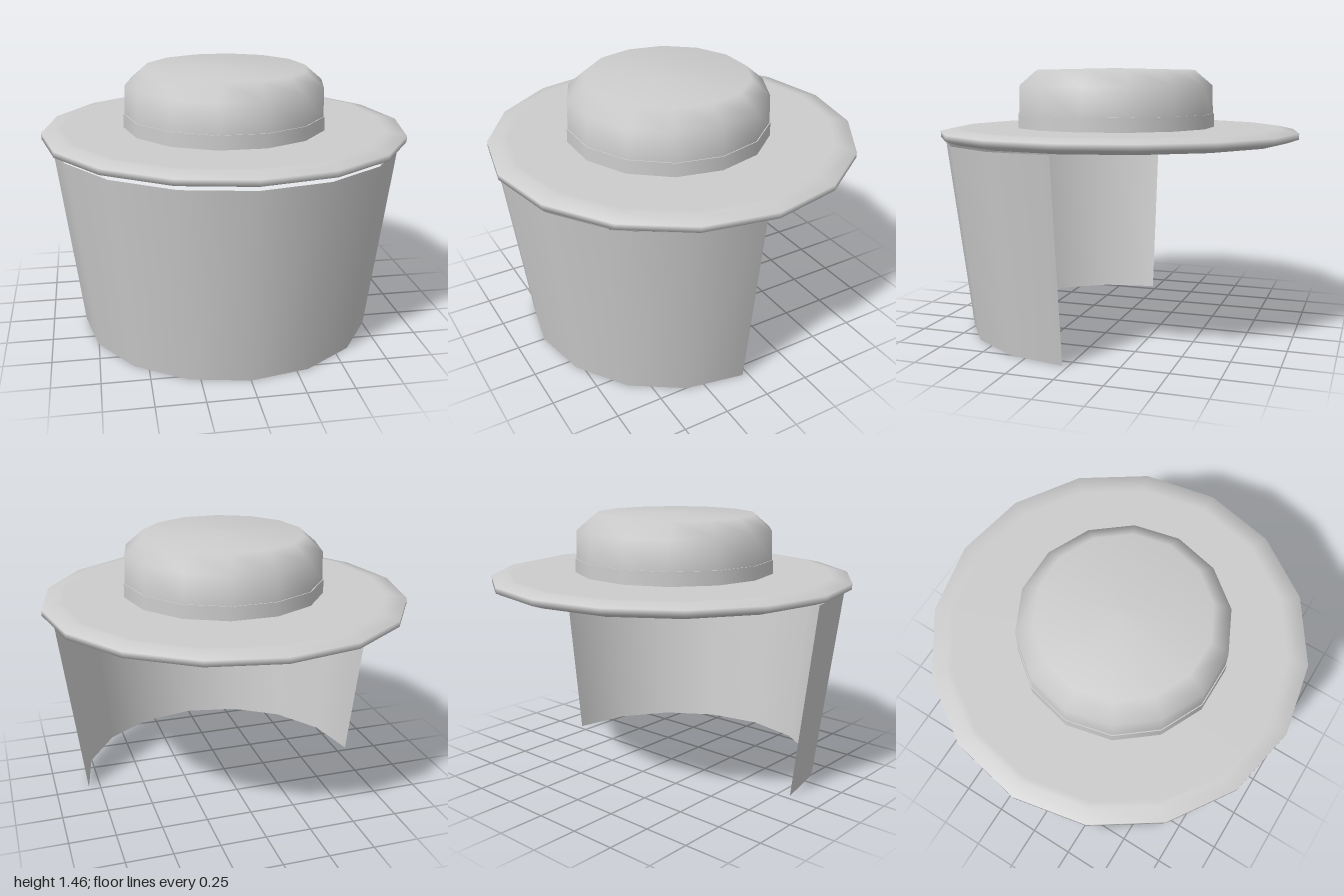
import * as THREE from 'three';

const cloth = new THREE.MeshStandardMaterial({ color: 0xcccccc, side: THREE.DoubleSide });
cloth.name = 'light grey cloth';

// Turned part from [radius, height] pairs, listed from bottom to top
function turned(profile, sides, start) {
  const points = profile.map(([r, y]) => new THREE.Vector2(r, y));
  return new THREE.LatheGeometry(points, sides, start);
}

export function createModel() {
  const group = new THREE.Group();
  group.name = 'veiledHat';

  function add(name, geometry, y = 0, z = 0) {
    const mesh = new THREE.Mesh(geometry, cloth);
    mesh.name = name;
    mesh.position.set(0, y, z);
    group.add(mesh);
  }

  // Wide flat brim with a rounded edge; close rings keep the flats flat
  add('brim', turned([
    [0, 1.059], [0.91, 1.059], [0.935, 1.061], [1, 1.083],
    [1, 1.115], [0.92, 1.133], [0.89, 1.135], [0, 1.135],
  ], 16, 0));

  // Band around the foot of the crown
  add('band', new THREE.CylinderGeometry(0.555, 0.557, 0.08, 14, 1, false, Math.PI / 2), 1.17, 0.027);

  // Low crown with a bevelled shoulder and a nearly flat top
  add('crown', turned([
    [0.55, 1.2], [0.545, 1.365], [0.446, 1.45], [0, 1.46],
  ], 14, Math.PI / 2), 0, 0.027);

  // Tapered half-round veil hanging from the front of the brim
  add('veil', new THREE.CylinderGeometry(0.945, 0.815, 1.055, 8, 1, true, -Math.PI / 2, Math.PI), 0.5275, 0.03);

  return group;
}
